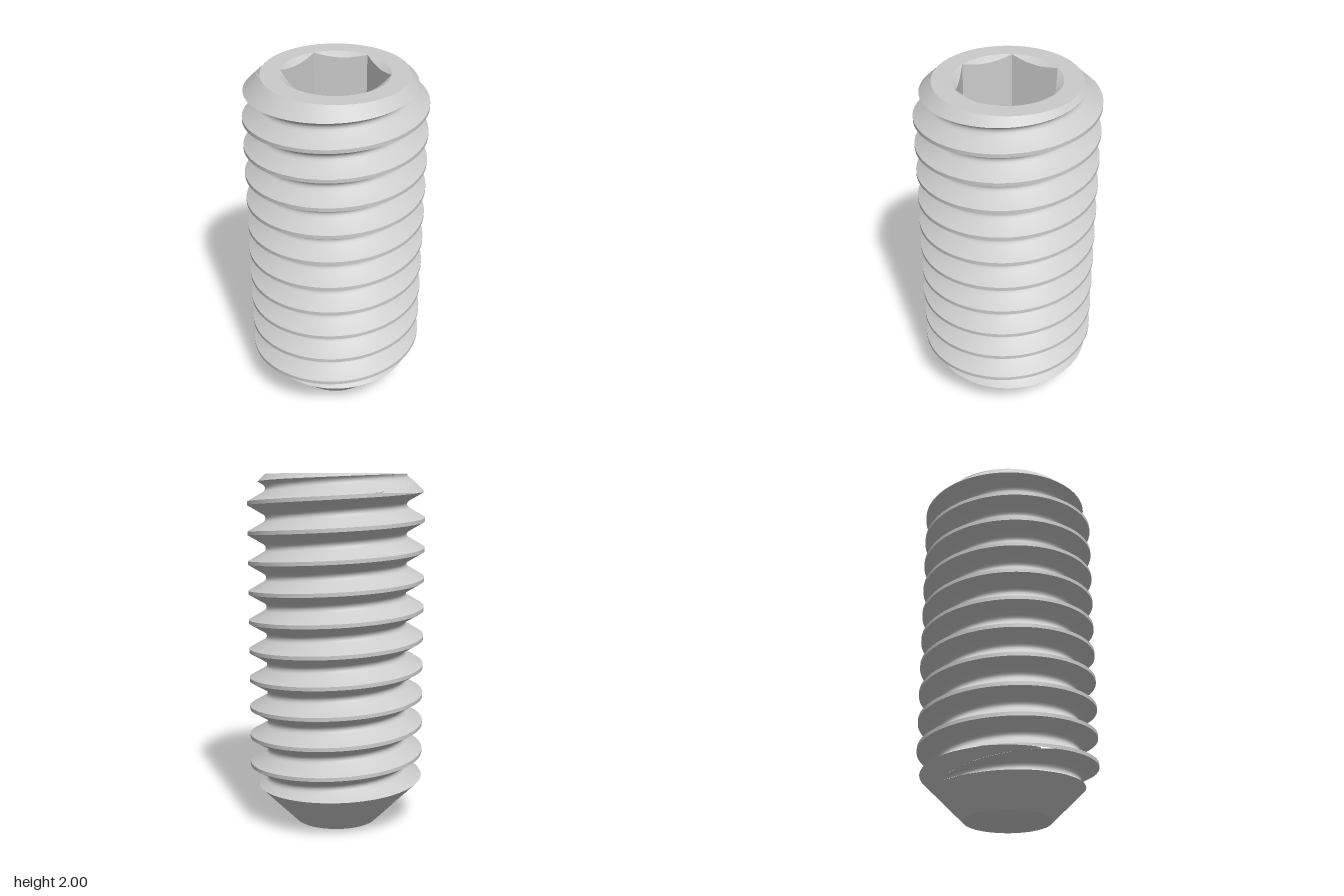
import * as THREE from 'three';
import { toCreasedNormals } from 'three/addons/utils/BufferGeometryUtils.js';

const SEG = 120, TAU = Math.PI * 2;
const PITCH = 1 / 6, CREST_Y = 1.795;          // crest height at the front (+z)
const R_OUT = 0.5, R_ROOT = 0.398, R_TIP = 0.24, R_TOP = 0.397;
const CREST = PITCH / 16, FILLET = 0.024;      // half crest flat, root fillet radius
const SOCKET = 0.253, SINK = 0.2925, FLOOR = 1.42;

// Triangles between rings; each ring maps an angle (from +z towards +x) to [radius, y]
function surface(rings) {
  const tris = [];
  const at = (ring, j) => {
    const a = (j / SEG) * TAU, [r, y] = ring(a);
    return new THREE.Vector3(r * Math.sin(a), y, r * Math.cos(a));
  };
  for (let i = 0; i < rings.length - 1; i++) {
    for (let j = 0; j < SEG; j++) {
      const a = at(rings[i], j), b = at(rings[i], j + 1);
      const c = at(rings[i + 1], j + 1), d = at(rings[i + 1], j);
      tris.push([a, b, c], [a, c, d]);
    }
  }
  return tris;
}

// Keep the part of the triangles where f(point) <= 0
function clip(tris, f) {
  const out = [];
  for (const tri of tris) {
    const v = tri.map(f), poly = [];
    for (let i = 0; i < 3; i++) {
      const j = (i + 1) % 3;
      if (v[i] <= 0) poly.push(tri[i]);
      if ((v[i] <= 0) !== (v[j] <= 0)) poly.push(tri[i].clone().lerp(tri[j], v[i] / (v[i] - v[j])));
    }
    for (let i = 1; i + 1 < poly.length; i++) out.push([poly[0], poly[i], poly[i + 1]]);
  }
  return out;
}

function makeMesh(name, tris) {
  const t = new THREE.Triangle();
  const solid = tris.filter(([a, b, c]) => t.set(a, b, c).getArea() > 1e-9);
  const geo = new THREE.BufferGeometry().setFromPoints(solid.flat());
  // enlarged while creasing so that close vertices stay separate
  geo.scale(50, 50, 50);
  const creased = toCreasedNormals(geo, 0.6);
  creased.scale(0.02, 0.02, 0.02);
  const mesh = new THREE.Mesh(creased, new THREE.MeshStandardMaterial({ color: 0xcccccc }));
  mesh.name = name;
  return mesh;
}

// Thread radius at a point's angle and height
function threadRadius(p) {
  const lead = (Math.atan2(p.x, p.z) / TAU) * PITCH;
  const turns = (p.y - CREST_Y - lead) / PITCH;
  const u = Math.abs(turns - Math.round(turns)) * PITCH;
  if (u < CREST) return R_OUT;
  const w = PITCH / 2 - u;
  if (w > FILLET * Math.sin(Math.PI / 3)) return R_OUT - (u - CREST) * Math.sqrt(3);
  return R_ROOT + FILLET - Math.sqrt(FILLET * FILLET - w * w);
}

// 45 degree chamfers at both ends
const tipCone = (y) => R_TIP + y;
const topCone = (y) => R_TOP + 2 - y;
const radius = (p) => Math.hypot(p.x, p.z);

function threadTris() {
  // One pitch: crest flat, flank, rounded root, flank
  const profile = [[-CREST, R_OUT], [CREST, R_OUT]];
  for (let i = 0; i <= 4; i++) {
    const a = (i / 4 - 0.5) * TAU / 3;
    profile.push([PITCH / 2 + FILLET * Math.sin(a), R_ROOT + FILLET - FILLET * Math.cos(a)]);
  }
  const rings = [];
  for (let k = -11; k <= 2; k++) {
    for (const [s, r] of profile) rings.push((a) => [r, CREST_Y + s + PITCH * (k + a / TAU)]);
  }
  const lower = clip(surface(rings), (p) => radius(p) - tipCone(p.y));
  return clip(lower, (p) => radius(p) - topCone(p.y));
}

// Chamfer cone, kept only where it cuts into the thread
function chamferTris(cone, y0, y1, rows) {
  const rings = [];
  for (let i = 0; i <= rows; i++) {
    const y = y0 + ((y1 - y0) * i) / rows;
    rings.push(() => [cone(y), y]);
  }
  return clip(surface(rings), (p) => cone(p.y) - threadRadius(p));
}

export function createModel() {
  const group = new THREE.Group();
  group.name = 'setScrew';

  group.add(makeMesh('thread', threadTris()));
  group.add(makeMesh('tipChamfer', chamferTris(tipCone, 0, 0.27, 30)));
  group.add(makeMesh('topChamfer', chamferTris(topCone, 1.89, 2, 14)));

  // Conical cup in the tip
  group.add(makeMesh('cupPoint', surface([() => [0, 0.14], () => [R_TIP, 0]])));

  // Flat end face and countersunk hexagon socket, flats facing front and back
  const hex = (a) => {
    const side = a - Math.round(a / (TAU / 6)) * (TAU / 6);
    return SOCKET / Math.cos(side);
  };
  group.add(makeMesh('topFace', surface([() => [R_TOP, 2], () => [SINK, 2]])));
  group.add(makeMesh('hexSocket', surface([
    () => [SINK, 2],
    (a) => [hex(a), 2 - (SINK - hex(a)) * 0.58],
    (a) => [hex(a), FLOOR],
    () => [0, FLOOR],
  ])));
  return group;
}
